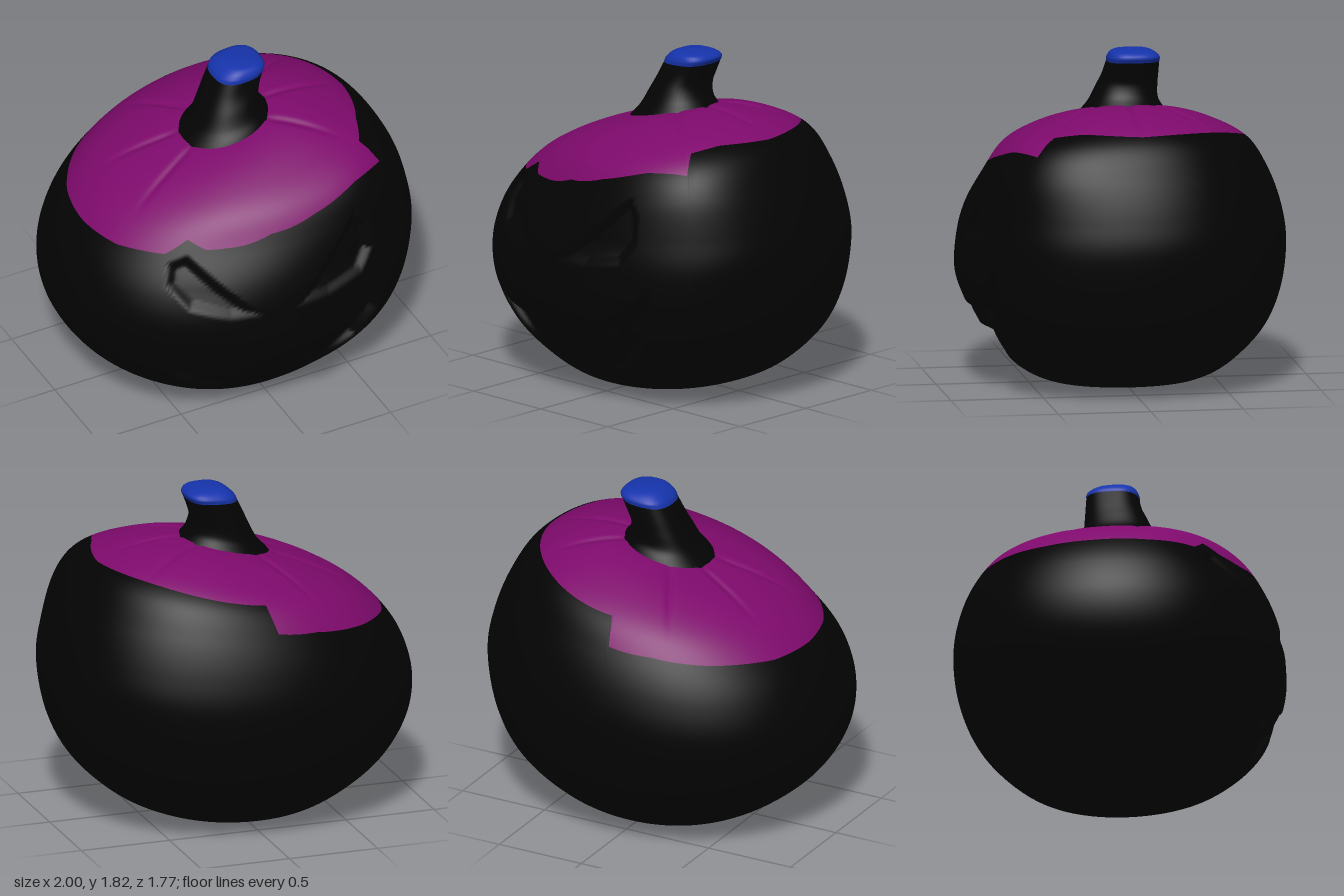
import * as THREE from 'three';

const { smoothstep, clamp, lerp } = THREE.MathUtils;
const bell = (x, width) => Math.exp(-((x / width) ** 2));

// Surface through tilted elliptical rings: [leftX, leftY, rightX, rightY, halfDepth, centreZ]
// swell(v, a) widens a ring at an angle
function ringSurface(rings, swell) {
  const curve = (f) => new THREE.CatmullRomCurve3(rings.map(f), false, 'catmullrom', 0.5);
  const left = curve((r) => new THREE.Vector3(r[0], r[1], 0));
  const right = curve((r) => new THREE.Vector3(r[2], r[3], 0));
  const depth = curve((r) => new THREE.Vector3(r[4], r[5] || 0, 0));
  return (v, a) => {
    const l = left.getPoint(v), r = right.getPoint(v), d = depth.getPoint(v), s = swell(v, a);
    const p = l.lerp(r, 0.5 + 0.5 * s * Math.cos(a));
    p.z = d.y + d.x * s * Math.sin(a);
    return p;
  };
}

// Grid patch of a surface between two heights, which may vary with the angle
function patch(surface, from, to, cols, rows, color, name) {
  const pos = [], nor = [], idx = [], e = 0.002;
  for (let i = 0; i <= cols; i++) {
    const a = -Math.PI / 2 + (i / cols) * Math.PI * 2;
    const v0 = from(a), v1 = to(a);
    for (let j = 0; j <= rows; j++) {
      const v = lerp(v0, v1, j / rows);
      const vn = clamp(v, 0.004, 0.996);
      const p = surface(v, a), q = surface(vn, a);
      const dv = surface(vn + e, a).sub(q);
      const da = surface(vn, a + 0.01).sub(q);
      const n = dv.cross(da).normalize();
      pos.push(p.x, p.y, p.z);
      nor.push(n.x, n.y, n.z);
      if (i < cols && j < rows) {
        const k = i * (rows + 1) + j, m = k + rows + 1;
        idx.push(k, k + 1, m, k + 1, m + 1, m);
      }
    }
  }
  const g = new THREE.BufferGeometry();
  g.setAttribute('position', new THREE.Float32BufferAttribute(pos, 3));
  g.setAttribute('normal', new THREE.Float32BufferAttribute(nor, 3));
  g.setIndex(idx);
  const mesh = new THREE.Mesh(g, new THREE.MeshStandardMaterial({ color }));
  mesh.name = name;
  return mesh;
}

// Signed distance to an outline, positive inside
function inside(poly, x, y) {
  let best = Infinity, isIn = false;
  poly.forEach(([ax, ay], i) => {
    const [bx, by] = poly[(i + 1) % poly.length];
    const ex = bx - ax, ey = by - ay;
    const t = clamp(((x - ax) * ex + (y - ay) * ey) / (ex * ex + ey * ey), 0, 1);
    best = Math.min(best, Math.hypot(x - ax - t * ex, y - ay - t * ey));
    if (ay > y !== by > y && x < ax + (ex * (y - ay)) / ey) isIn = !isIn;
  });
  return isIn ? best : -best;
}

// Carved eyes and mouth seen from the front; each fades out from height y1 down to y0
const carvings = [
  { depth: 0.045, y0: 0.7, y1: 0.95, poly: [[-0.5, 1.12], [-0.36, 0.97], [-0.18, 0.8], [-0.36, 0.8], [-0.56, 0.86], [-0.64, 0.98], [-0.6, 1.08]] },
  { depth: 0.045, y0: 0.7, y1: 0.95, poly: [[0.41, 1.21], [0.2, 1.0], [-0.02, 0.8], [0.2, 0.8], [0.42, 0.85], [0.5, 0.97], [0.48, 1.12]] },
  {
    depth: 0.08, y0: 0.06, y1: 0.38,
    poly: [[-0.7, 0.5], [-0.5, 0.45], [-0.2, 0.42], [0.12, 0.45], [0.13, 0.35], [0.23, 0.37], [0.26, 0.49], [0.45, 0.6], [0.57, 0.74],
      [0.56, 0.52], [0.46, 0.34], [0.27, 0.18], [0.05, 0.11], [-0.2, 0.12], [-0.43, 0.22], [-0.6, 0.36]],
  },
];

// Creases in the lid, as angles seen from the top
const creases = [0, 40, 160, 198, 243, 327].map((d) => (d * Math.PI) / 180);

// The body swells at its front left shoulder and falls back at its front right one
const bodySwell = (v, a) => {
  const corner = bell(a - 0.8, 0.47) * (0.048 + 0.06 * bell(v - 0.7, 0.09)) * smoothstep(v, 0.1, 0.4);
  const brow = -0.06 * bell(a - 2.0, 0.5) * bell(v - 0.7, 0.1);
  return 1 + 0.018 * Math.sin(2 * a) ** 2 + corner + brow;
};

const bodyShape = ringSurface([
  [0, 0.012, 0, 0.012, 0],
  [-0.3, 0.003, 0.28, 0.012, 0.3],
  [-0.47, 0.035, 0.45, 0.045, 0.46],
  [-0.66, 0.135, 0.65, 0.145, 0.61],
  [-0.85, 0.3, 0.845, 0.33, 0.765],
  [-0.97, 0.5, 0.955, 0.55, 0.85],
  [-1, 0.7, 1, 0.82, 0.875],
  [-0.95, 0.9, 0.97, 1.02, 0.845],
  [-0.85, 1.06, 0.89, 1.23, 0.775],
  [-0.7, 1.2, 0.77, 1.41, 0.67],
  [-0.5, 1.315, 0.58, 1.5, 0.5],
  [-0.25, 1.41, 0.32, 1.537, 0.28],
  [0.04, 1.49, 0.04, 1.49, 0],
], bodySwell);

// Body with carved face and lid creases
function bodySurface(v, a) {
  const p = bodyShape(v, a);
  if (p.z > 0.2) {
    let push = 0.02 * bell(p.y - 0.6, 0.13) * bell(p.x, 0.5);
    for (const { depth, y0, y1, poly } of carvings) {
      push -= depth * smoothstep(inside(poly, p.x, p.y), -0.01, 0.06) * smoothstep(p.y, y0, y1);
    }
    p.z += push * smoothstep(p.z, 0.2, 0.45);
  }
  const r = Math.hypot(p.x, p.z);
  if (v > 0.6 && r > 0.15) {
    const az = Math.atan2(p.z, p.x);
    const fade = smoothstep(r, 0.17, 0.32) * (1 - smoothstep(r, 0.4, 0.72));
    for (const c of creases) {
      if (Math.cos(az - c) > 0) p.y -= 0.012 * bell(r * Math.sin(az - c), 0.022) * fade;
    }
  }
  return p;
}

// Lid edge: [angle in degrees, radius] seen from the top
const lidEdge = [[-90, 0.65], [-40, 0.69], [0, 0.73], [25, 0.72], [38.5, 0.75], [39.5, 0.87], [55, 0.8], [75, 0.745],
  [95, 0.71], [115, 0.72], [124, 0.73], [132, 0.71], [140, 0.78], [160, 0.82], [180, 0.83], [200, 0.83], [225, 0.8],
  [250, 0.76], [270, 0.75]];

function edgeRadius(p) {
  let deg = (Math.atan2(p.z, p.x) * 180) / Math.PI;
  if (deg < -90) deg += 360;
  const i = clamp(lidEdge.findIndex((e) => e[0] > deg), 1, lidEdge.length - 1);
  const [d0, r0] = lidEdge[i - 1], [d1, r1] = lidEdge[i];
  return lerp(r0, r1, (deg - d0) / (d1 - d0));
}

// Height parameter at which the lid starts, found by bisection
function lidStart(a) {
  let lo = 0.5, hi = 0.98;
  for (let k = 0; k < 24; k++) {
    const mid = (lo + hi) / 2, p = bodyShape(mid, a);
    if (Math.hypot(p.x, p.z) > edgeRadius(p)) lo = mid;
    else hi = mid;
  }
  return lo;
}

// Leaning stalk, flared at its foot and squarer towards its cut tip
const squarish = (a) => 0.09 * Math.sin(2 * a) ** 2;
const stalk = ringSurface([
  [-0.29, 1.34, 0.31, 1.48, 0.26, 0],
  [-0.22, 1.425, 0.255, 1.53, 0.22, 0],
  [-0.16, 1.49, 0.22, 1.575, 0.185, -0.005],
  [-0.11, 1.58, 0.205, 1.635, 0.165, -0.02],
  [-0.07, 1.66, 0.22, 1.69, 0.15, -0.035],
  [-0.03, 1.74, 0.245, 1.755, 0.14, -0.045],
], (v, a) => 1 + v * squarish(a));
const tip = ringSurface([
  [-0.03, 1.74, 0.245, 1.755, 0.14, -0.045],
  [-0.015, 1.77, 0.255, 1.785, 0.138, -0.045],
  [0.04, 1.81, 0.22, 1.81, 0.1, -0.035],
  [0.12, 1.82, 0.12, 1.82, 0, -0.03],
], (v, a) => 1 + squarish(a));

export function createModel() {
  const group = new THREE.Group();
  const zero = () => 0, one = () => 1;
  group.add(
    patch(bodySurface, zero, lidStart, 300, 130, 0x030303, 'pumpkinBody'),
    patch(bodySurface, lidStart, one, 300, 40, 0x7e0a6c, 'lid'),
    patch(stalk, zero, one, 48, 24, 0x030303, 'stalk'),
    patch(tip, zero, one, 48, 10, 0x1634ac, 'stalkTip'),
  );
  return group;
}
